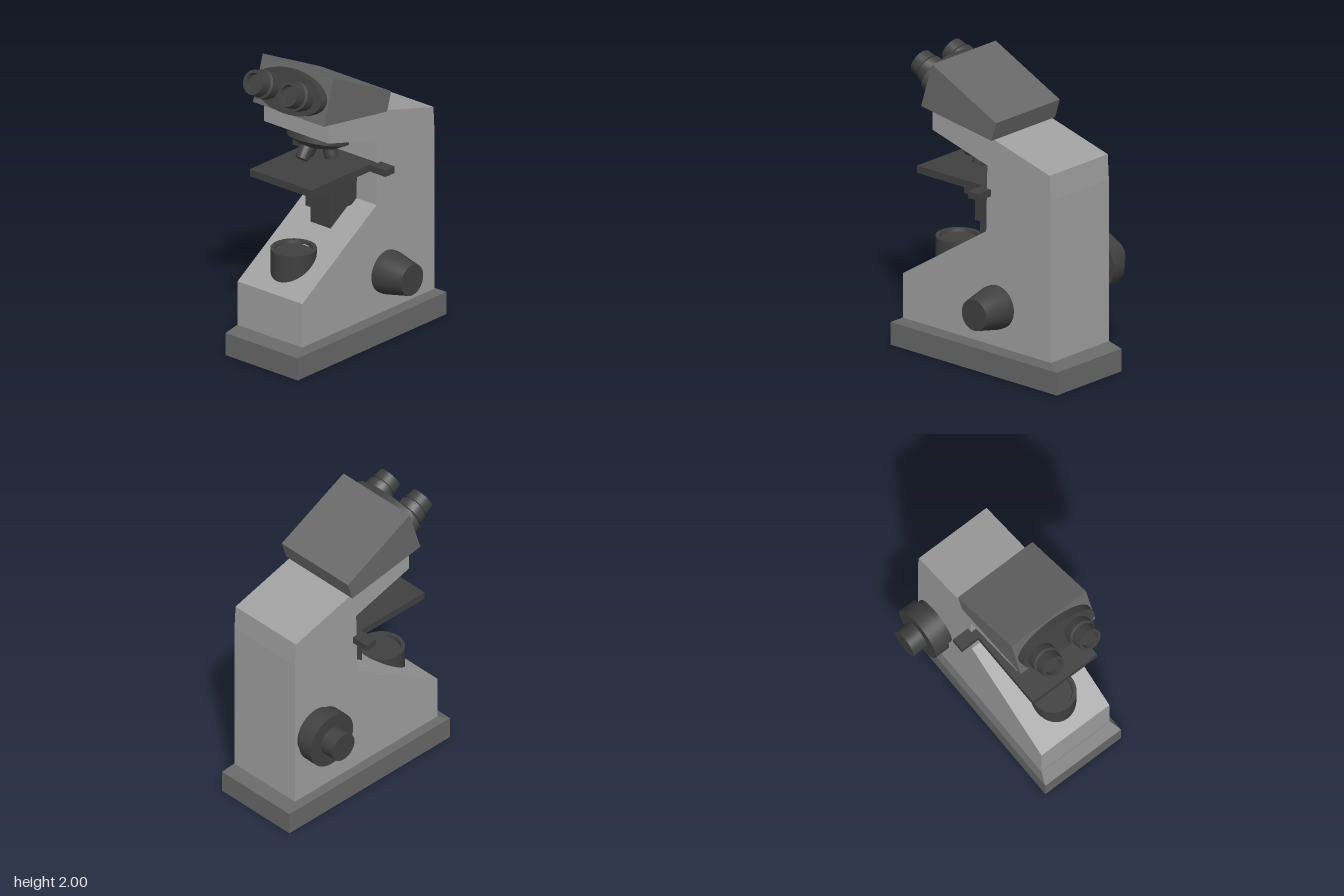
import * as THREE from 'three';
import { toCreasedNormals } from 'three/addons/utils/BufferGeometryUtils.js';

const CX = 0.015; // centre line of the stand
const UP = new THREE.Vector3(0, 1, 0);
const body = new THREE.MeshStandardMaterial({ color: 0xa0a0a0 });
const trim = new THREE.MeshStandardMaterial({ color: 0x686868 });
const dark = new THREE.MeshStandardMaterial({ color: 0x404040 });

export function createModel() {
  const root = new THREE.Group();

  const add = (name, geometry, material, parent = root) => {
    const mesh = new THREE.Mesh(geometry, material);
    mesh.name = name;
    parent.add(mesh);
    return mesh;
  };

  // Side profile of [z, y] points, extruded across x
  const slab = (name, points, width, material) => {
    const shape = new THREE.Shape(points.map(([z, y]) => new THREE.Vector2(z, y)));
    const g = new THREE.ExtrudeGeometry(shape, { depth: width, bevelEnabled: false });
    g.translate(0, 0, -width / 2).rotateY(-Math.PI / 2).translate(CX, 0, 0);
    return add(name, g, material);
  };

  // Box given by its limits
  const block = (name, [x0, x1], [y0, y1], [z0, z1], material) => {
    const g = new THREE.BoxGeometry(x1 - x0, y1 - y0, z1 - z0);
    g.translate((x0 + x1) / 2, (y0 + y1) / 2, (z0 + z1) / 2);
    return add(name, g, material);
  };

  // Turned part: [radius, distance along axis] points, set at a position and direction
  const turned = (name, profile, position, direction, material = dark, parent = root) => {
    const pts = profile.map(([r, h]) => new THREE.Vector2(r, h));
    const g = toCreasedNormals(new THREE.LatheGeometry(pts, 36), 0.5);
    const mesh = add(name, g, material, parent);
    mesh.position.set(...position);
    mesh.quaternion.setFromUnitVectors(UP, new THREE.Vector3(...direction).normalize());
    return mesh;
  };

  // Base with a sloped upper edge
  block('base', [-0.295, 0.325], [0, 0.155], [-0.72, 0.72], trim);
  const bevel = new THREE.BoxGeometry(0.62, 0.04, 1.44);
  const p = bevel.attributes.position;
  for (let i = 0; i < p.count; i++) {
    if (p.getY(i) > 0) p.setXYZ(i, Math.sign(p.getX(i)) * 0.28, p.getY(i), Math.sign(p.getZ(i)) * 0.642);
  }
  const flatBevel = bevel.toNonIndexed();
  flatBevel.computeVertexNormals();
  add('baseBevel', flatBevel.translate(CX, 0.175, 0), trim);

  // Stand with sloping foot, column and overhanging arm
  slab('stand', [
    [-0.64, 0.19], [0.64, 0.19], [0.64, 0.5], [-0.08, 0.96], [-0.09, 1.41],
    [0.385, 1.54], [0.385, 1.68], [-0.15, 1.6], [-0.63, 1.47], [-0.64, 1.3],
  ], 0.556, body);

  // Binocular head
  slab('head', [[-0.15, 1.6], [0.46, 1.69], [0.365, 1.998], [-0.19, 1.73]], 0.61, trim);
  const plate = turned('eyepiecePlate', [[0, -0.08], [0.145, -0.08], [0.145, 0], [0, 0]],
    [CX, 1.852, 0.468], [0, 0.28, 0.96]);
  plate.scale.x = 2;

  // Eyepieces with collar and recessed lens
  for (const x of [-0.146, 0.151]) {
    turned('eyepiece', [
      [0, -0.22], [0.086, -0.22], [0.086, -0.14], [0.097, -0.135], [0.097, -0.085],
      [0.08, -0.08], [0.08, -0.07], [0.088, -0.065], [0.082, 0],
      [0.062, 0], [0.057, -0.03], [0, -0.03],
    ], [x, 1.92, 0.62], [0, 0.423, 0.906]);
  }

  // Revolving nosepiece, hung square to the underside of the arm
  const nose = new THREE.Group();
  nose.name = 'nosepiece';
  nose.position.set(CX, 1.48, 0.165);
  nose.rotation.x = -Math.atan2(0.13, 0.475);
  root.add(nose);
  turned('turret', [[0, -0.09], [0.13, -0.09], [0.205, -0.05], [0.205, 0.01], [0, 0.01]],
    [0, 0, 0], [0, 1, 0], dark, nose);

  // Objectives splayed around the turret
  [0.105, 0.075, 0.105].forEach((length, i) => {
    const a = (i * 2 * Math.PI) / 3;
    const s = Math.sin(a), c = Math.cos(a);
    turned('objective', [[0, -0.04], [0.047, -0.04], [0.047, length * 0.6], [0.042, length], [0, length]],
      [s * 0.085, -0.085, c * 0.085], [s * 0.38, -0.92, c * 0.38], dark, nose);
  });

  // Stage, its cross bar and the stepped carrier beneath
  block('stage', [-0.25, 0.275], [1.205, 1.255], [-0.1, 0.535], dark);
  block('stageBar', [-0.385, 0.413], [1.207, 1.253], [-0.12, -0.03], dark);
  block('stageCarrier', [-0.09, 0.12], [1.09, 1.205], [-0.1, 0.27], dark);
  block('condenserMount', [-0.09, 0.12], [0.93, 1.09], [-0.1, 0.175], dark);
  block('condenser', [-0.07, 0.1], [0.815, 0.93], [-0.08, 0.15], dark);

  // Lamp housing with recessed top
  turned('lamp', [[0, 0.45], [0.15, 0.45], [0.15, 0.742], [0.125, 0.742], [0.12, 0.72], [0, 0.72]],
    [CX, 0, 0.41], [0, 1, 0]);

  // Stepped focus knob on the right
  turned('focusKnob', [
    [0, 0], [0.165, 0], [0.165, 0.055], [0.19, 0.055], [0.19, 0.163],
    [0.098, 0.163], [0.098, 0.27], [0, 0.27],
  ], [-0.25, 0.68, -0.453], [-1, 0, 0]);

  // Tapered knob on the left
  turned('taperedKnob', [[0, 0], [0.145, 0], [0.145, 0.05], [0.106, 0.235], [0, 0.235]],
    [0.28, 0.468, -0.175], [1, 0, 0]);

  return root;
}
